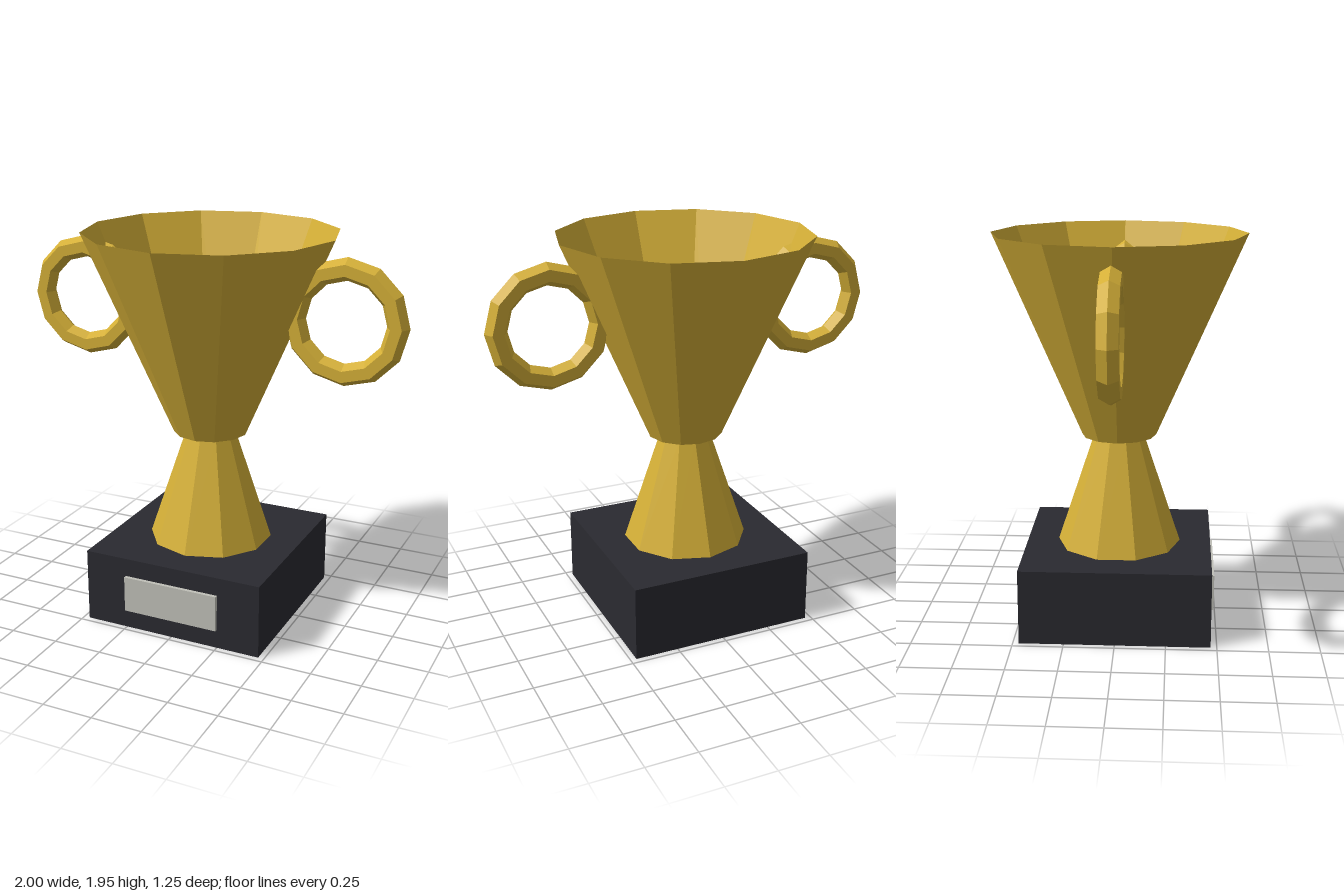
import * as THREE from 'three';

const material = (color, extra = {}) =>
  new THREE.MeshStandardMaterial({ color, flatShading: true, ...extra });

export function createModel() {
  const trophy = new THREE.Group();
  trophy.name = 'trophy';

  const gold = material(0xd4af37);
  const goldThin = material(0xd4af37, { side: THREE.DoubleSide });
  const dark = material(0x2a2a30);
  const silver = material(0xc0c0b8);

  const add = (name, geometry, mat, x, y, z) => {
    const mesh = new THREE.Mesh(geometry, mat);
    mesh.name = name;
    mesh.position.set(x, y, z);
    trophy.add(mesh);
    return mesh;
  };

  // Square plinth with a plaque on its front
  const baseHeight = 0.378, baseWidth = 0.94;
  add('base', new THREE.BoxGeometry(baseWidth, baseHeight, baseWidth), dark, 0, baseHeight / 2, 0);
  add('plaque', new THREE.BoxGeometry(0.5, 0.185, 0.03), silver, 0, 0.192, 0.473);

  // Ten-sided tapered stem
  const cupBottom = 0.946, cupTop = 1.955;
  const stemHeight = cupBottom - baseHeight;
  add('stem', new THREE.CylinderGeometry(0.125, 0.313, stemHeight, 10, 1, true),
    gold, 0, baseHeight + stemHeight / 2, 0);

  // Thin twelve-sided cup, open at the top and closed by a floor
  const cupHeight = cupTop - cupBottom;
  add('cup', new THREE.CylinderGeometry(0.627, 0.188, cupHeight, 12, 1, true),
    goldThin, 0, cupBottom + cupHeight / 2, 0);
  const floor = add('cupFloor', new THREE.CircleGeometry(0.188, 12), goldThin, 0, cupBottom, 0);
  floor.rotation.x = Math.PI / 2;

  // Ring handles that pass through the cup wall
  for (const [name, side] of [['leftHandle', 1], ['rightHandle', -1]]) {
    add(name, new THREE.TorusGeometry(0.253, 0.055, 6, 12), gold, side * 0.692, 1.577, 0);
  }

  return trophy;
}
